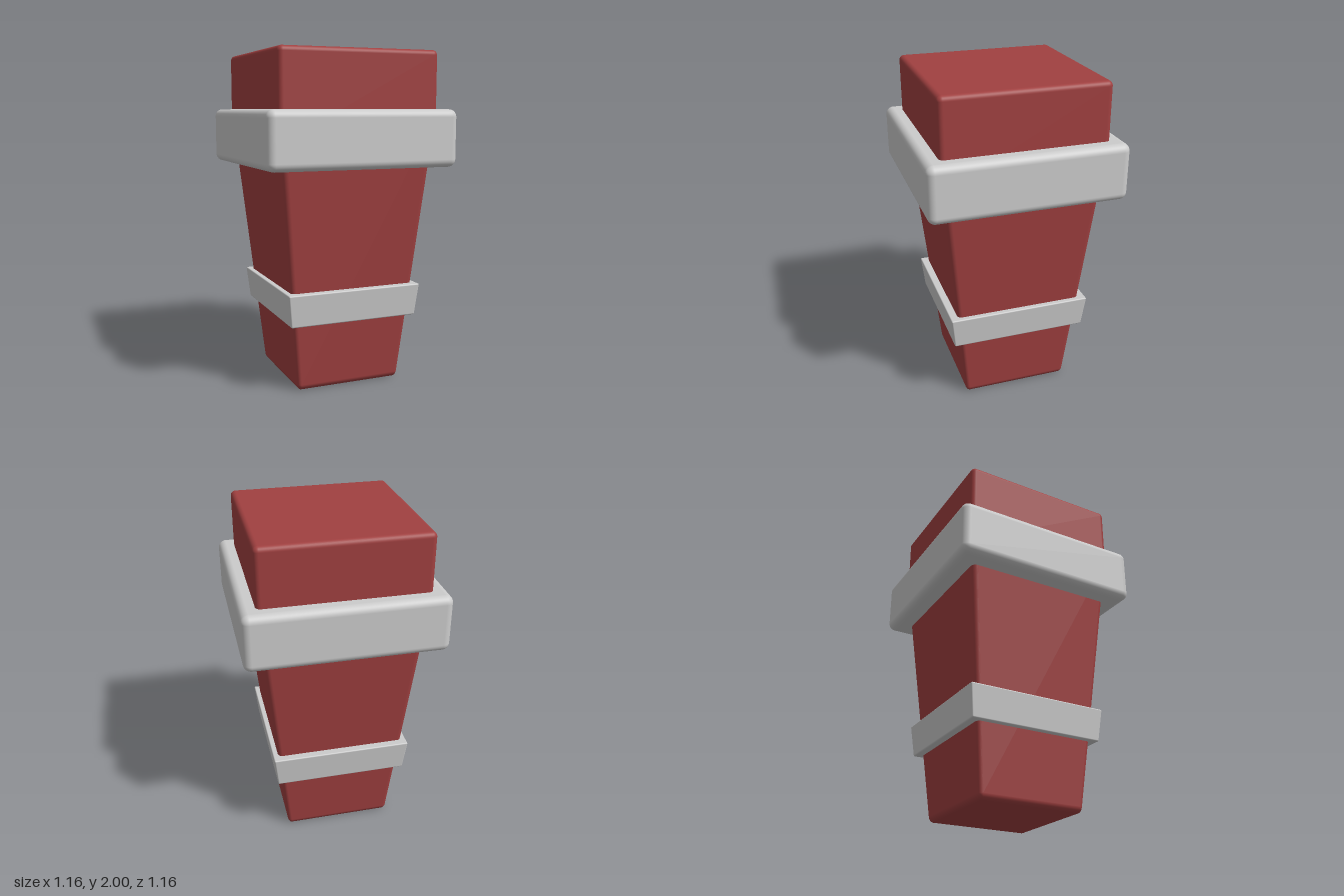
import * as THREE from 'three';
import { RoundedBoxGeometry } from 'three/addons/geometries/RoundedBoxGeometry.js';

const red = new THREE.MeshStandardMaterial({ color: 0xa04040 });
const grey = new THREE.MeshStandardMaterial({ color: 0xcccccc });

// Rounded block from y0 to y1 whose half-widths run linearly from bottom to top.
function block(name, material, y0, y1, bottom, top, radius) {
  const [bx, bz] = bottom, [tx, tz] = top, h = y1 - y0;
  const geo = new RoundedBoxGeometry(2 * tx, h, 2 * tz, 5, radius);
  const p = geo.attributes.position, n = geo.attributes.normal;
  const v = new THREE.Vector3();
  for (let i = 0; i < p.count; i++) {
    const t = p.getY(i) / h + 0.5;
    const sx = THREE.MathUtils.lerp(bx / tx, 1, t);
    const sz = THREE.MathUtils.lerp(bz / tz, 1, t);
    // lean the normals with the tapered sides
    v.set(n.getX(i), n.getY(i), n.getZ(i));
    v.y -= (Math.abs(v.x) * (tx - bx) + Math.abs(v.z) * (tz - bz)) / h;
    v.normalize();
    n.setXYZ(i, v.x, v.y, v.z);
    p.setXYZ(i, p.getX(i) * sx, p.getY(i), p.getZ(i) * sz);
  }
  geo.translate(0, (y0 + y1) / 2, 0);
  const mesh = new THREE.Mesh(geo, material);
  mesh.name = name;
  return mesh;
}

export function createModel() {
  const group = new THREE.Group();
  group.name = 'taperedPost';
  group.add(
    // tapering lower body and straight head
    block('taperedBody', red, 0, 1.6, [0.327, 0.327], [0.487, 0.487], 0.035),
    block('head', red, 1.45, 2, [0.49, 0.49], [0.49, 0.49], 0.03),
    // wide collar below the head, thin flared band near the foot
    block('collar', grey, 1.325, 1.66, [0.58, 0.58], [0.58, 0.58], 0.045),
    block('lowerBand', grey, 0.415, 0.61, [0.398, 0.413], [0.419, 0.434], 0.008)
  );
  return group;
}
